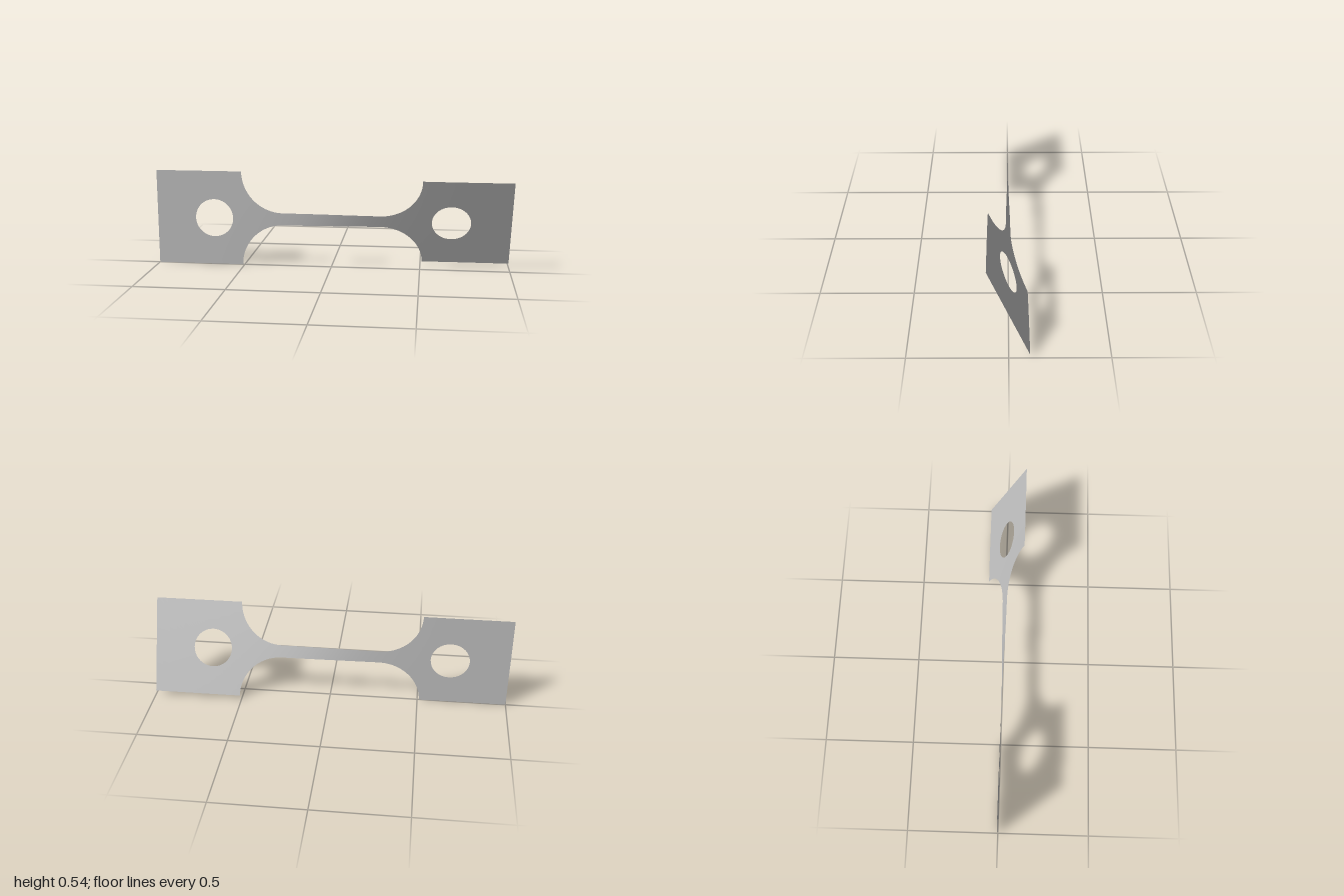
import * as THREE from 'three';

const HALF = 0.27;          // half height of the grips
const GAUGE = 0.035;        // half height of the narrow gauge
const FILLET = HALF - GAUGE;
const GRIP_IN = 0.51, GRIP_OUT = 1;
const HOLE_X = 0.67, HOLE_R = 0.108;

// Turns a flat point about the long axis: almost all twist lies in the gauge
function twist(x, y) {
  const a = THREE.MathUtils.degToRad(22.7) * (0.5 + 0.5 * Math.tanh(3.8 * x));
  return [x, HALF + y * Math.cos(a), y * Math.sin(a)];
}

// Twisted sheet from a grid of flat points, at(i, j) -> [x, y]
function sheet(name, nu, nv, at, material) {
  const positions = [], index = [];
  for (let i = 0; i <= nu; i++) {
    for (let j = 0; j <= nv; j++) {
      positions.push(...twist(...at(i, j)));
      if (i < nu && j < nv) {
        const a = i * (nv + 1) + j, b = a + nv + 1;
        index.push(a, b, b + 1, a, b + 1, a + 1);
      }
    }
  }
  const geometry = new THREE.BufferGeometry();
  geometry.setAttribute('position', new THREE.Float32BufferAttribute(positions, 3));
  geometry.setIndex(index);
  geometry.computeVertexNormals();
  const mesh = new THREE.Mesh(geometry, material);
  mesh.name = name;
  return mesh;
}

// Rectangular grip plate, lofted from the round hole out to its border
function grip(name, side, material) {
  const x0 = Math.min(side * GRIP_IN, side * GRIP_OUT);
  const x1 = Math.max(side * GRIP_IN, side * GRIP_OUT);
  const corners = [[x0, -HALF], [x1, -HALF], [x1, HALF], [x0, HALF]];
  const perSide = 16, rings = 6, cx = side * HOLE_X;
  return sheet(name, rings, perSide * 4, (i, j) => {
    const k = Math.floor(j / perSide) % 4, t = (j % perSide) / perSide;
    const p = corners[k], q = corners[(k + 1) % 4];
    const dx = p[0] + (q[0] - p[0]) * t - cx, dy = p[1] + (q[1] - p[1]) * t;
    const d = Math.hypot(dx, dy);
    const s = THREE.MathUtils.lerp(HOLE_R / d, 1, i / rings);
    return [cx + dx * s, dy * s];
  }, material);
}

// Narrow gauge with a quarter-round fillet at both ends
function neck(material) {
  const stations = [], steps = 24, flat = GRIP_IN - FILLET;
  for (let i = steps; i > 0; i--) {
    const a = (i / steps) * Math.PI / 2;
    stations.push([-flat - FILLET * Math.sin(a), HALF - FILLET * Math.cos(a)]);
  }
  for (let i = 0; i <= steps; i++) stations.push([-flat + 2 * flat * i / steps, GAUGE]);
  for (let i = 1; i <= steps; i++) {
    const a = (i / steps) * Math.PI / 2;
    stations.push([flat + FILLET * Math.sin(a), HALF - FILLET * Math.cos(a)]);
  }
  const nv = 16;
  return sheet('gaugeSection', stations.length - 1, nv,
    (i, j) => [stations[i][0], stations[i][1] * (2 * j / nv - 1)], material);
}

export function createModel() {
  const steel = new THREE.MeshStandardMaterial({ color: 0xc0c0c0, side: THREE.DoubleSide });
  steel.name = 'grey metal';
  const model = new THREE.Group();
  model.name = 'twistedTestStrip';
  model.add(grip('rightGrip', -1, steel), neck(steel), grip('leftGrip', 1, steel));
  return model;
}
